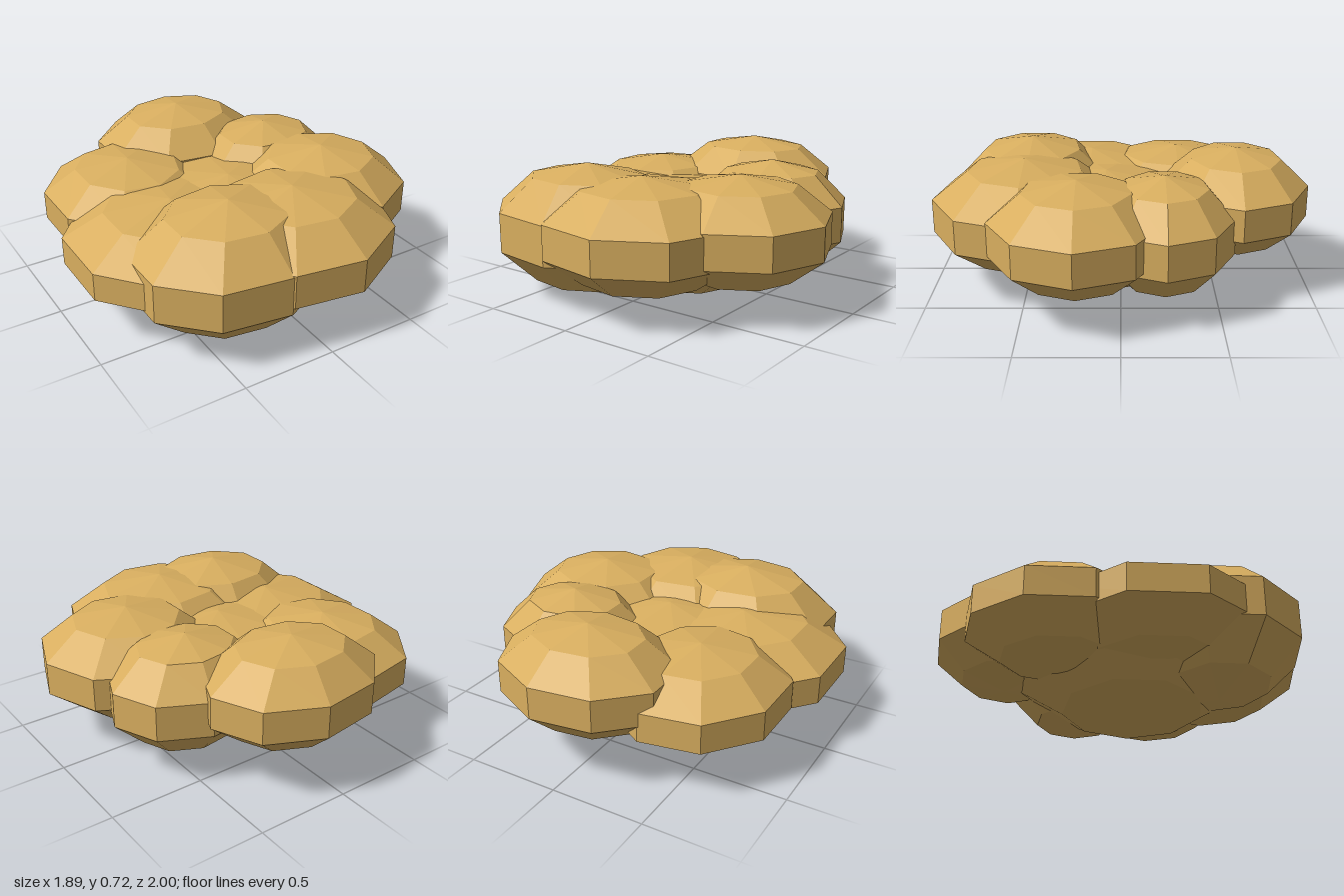
import * as THREE from 'three';

export function createModel() {
  const model = new THREE.Group();
  model.name = 'lobedCluster';
  const tan = new THREE.MeshStandardMaterial({ color: 0xd8ae5f, flatShading: true });
  tan.name = 'tan';

  // Unit nine-sided faceted ball with a corner on +x; its widest ring has radius 1
  const widest = Math.sin(Math.PI * 0.4);
  const ball = new THREE.SphereGeometry(1, 9, 5);
  ball.rotateY(Math.PI);
  ball.scale(1 / widest, 1, 1 / widest);

  // name, centre x y z, radius x y z
  const lobes = [
    ['centreLobe', -0.03, 0.29, 0.08, 0.71, 0.288, 0.62],
    ['backLobe', 0.035, 0.45, -0.61, 0.477, 0.275, 0.392],
    ['backLeftLobe', 0.39, 0.38, -0.22, 0.42, 0.3, 0.36],
    ['leftLobe', 0.47, 0.4, 0.22, 0.472, 0.283, 0.45],
    ['frontLobe', 0.077, 0.384, 0.51, 0.54, 0.292, 0.497],
    ['frontRightLobe', -0.29, 0.362, 0.5, 0.522, 0.336, 0.44],
    ['rightLobe', -0.43, 0.345, 0.17, 0.55, 0.242, 0.555],
    ['backRightLobe', -0.43, 0.36, -0.32, 0.455, 0.25, 0.485],
  ];
  for (const [name, x, y, z, rx, ry, rz] of lobes) {
    const lobe = new THREE.Mesh(ball, tan);
    lobe.name = name;
    lobe.position.set(x, y, z);
    lobe.scale.set(rx, ry, rz);
    model.add(lobe);
  }
  return model;
}
